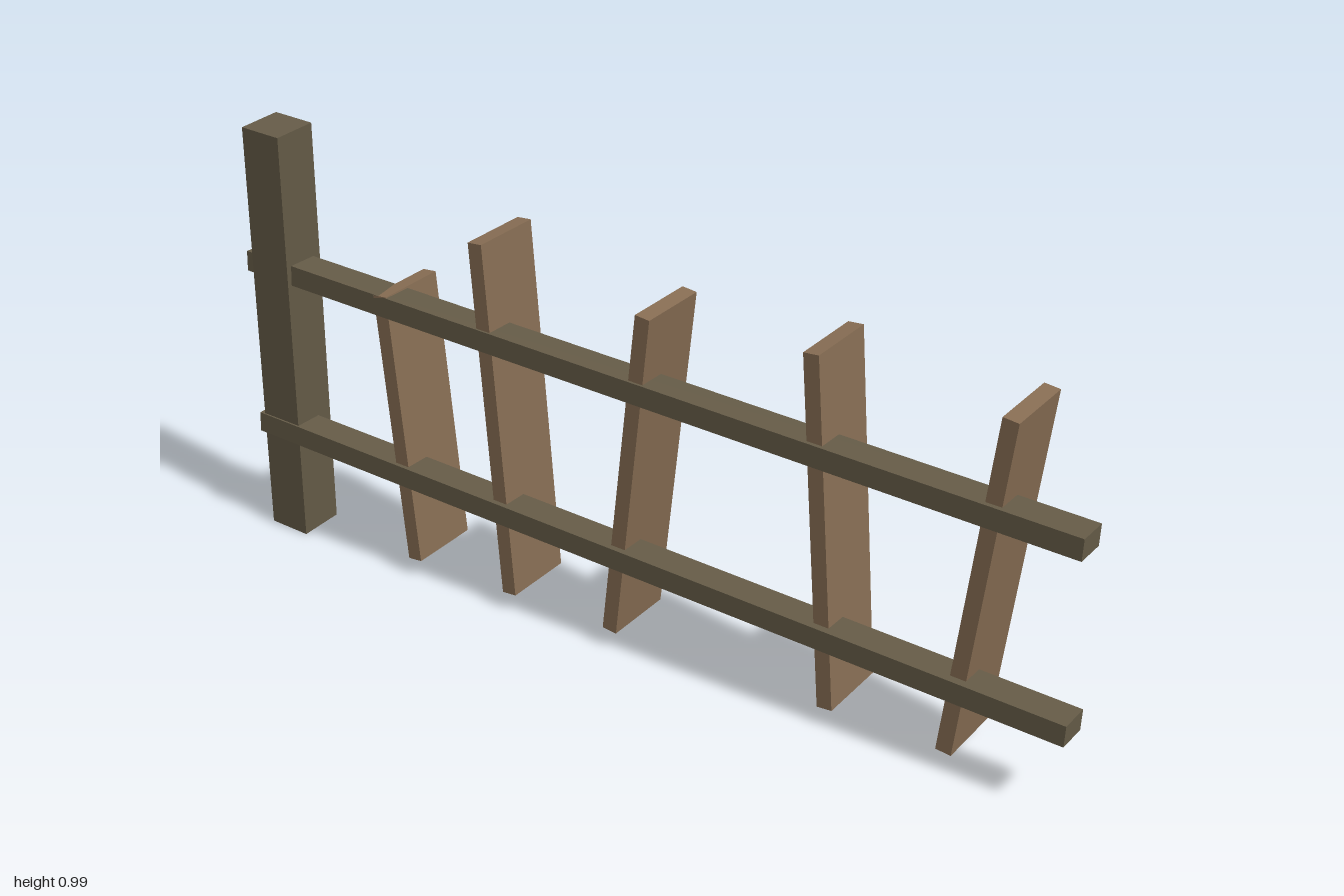
import * as THREE from 'three';

const darkWood = new THREE.MeshStandardMaterial({ color: 0x665c48, flatShading: true });
const paleWood = new THREE.MeshStandardMaterial({ color: 0x886e54, flatShading: true });

// Straight timber between two end centres; axis is the box axis laid along it
function timber(name, from, to, axis, size, material) {
  const a = new THREE.Vector3(...from);
  const b = new THREE.Vector3(...to);
  const dir = b.clone().sub(a);
  const dims = [...size];
  dims[axis === 'x' ? 0 : 1] = dir.length();
  const mesh = new THREE.Mesh(new THREE.BoxGeometry(...dims), material);
  mesh.name = name;
  mesh.position.copy(a).add(b).multiplyScalar(0.5);
  const unit = axis === 'x' ? new THREE.Vector3(1, 0, 0) : new THREE.Vector3(0, 1, 0);
  mesh.quaternion.setFromUnitVectors(unit, dir.normalize());
  return mesh;
}

export function createModel() {
  const fence = new THREE.Group();
  fence.name = 'brokenFence';

  // Leaning end post
  fence.add(timber('post', [-0.95, 0.005, 0.007], [-0.905, 0.981, 0.052], 'y', [0.1, 0, 0.105], darkWood));

  // Two sagging rails
  [['lowerRail', 0.268, 0.187], ['upperRail', 0.659, 0.578]].forEach(([name, yLeft, yRight]) => {
    fence.add(timber(name, [-0.999, yLeft, 0.041], [0.999, yRight, 0.051], 'x', [0, 0.046, 0.071], darkWood));
  });

  // Crooked slats: bottom x, top x, top y
  const slats = [
    [-0.57, -0.619, 0.669],
    [-0.307, -0.358, 0.846],
    [-0.042, 0.052, 0.786],
    [0.48, 0.43, 0.808],
    [0.745, 0.839, 0.786],
  ];
  slats.forEach(([x0, x1, y1], i) => {
    fence.add(timber(`slat${i + 1}`, [x0, 0.044, -0.019], [x1, y1, -0.004], 'y', [0.034, 0, 0.165], paleWood));
  });

  return fence;
}
